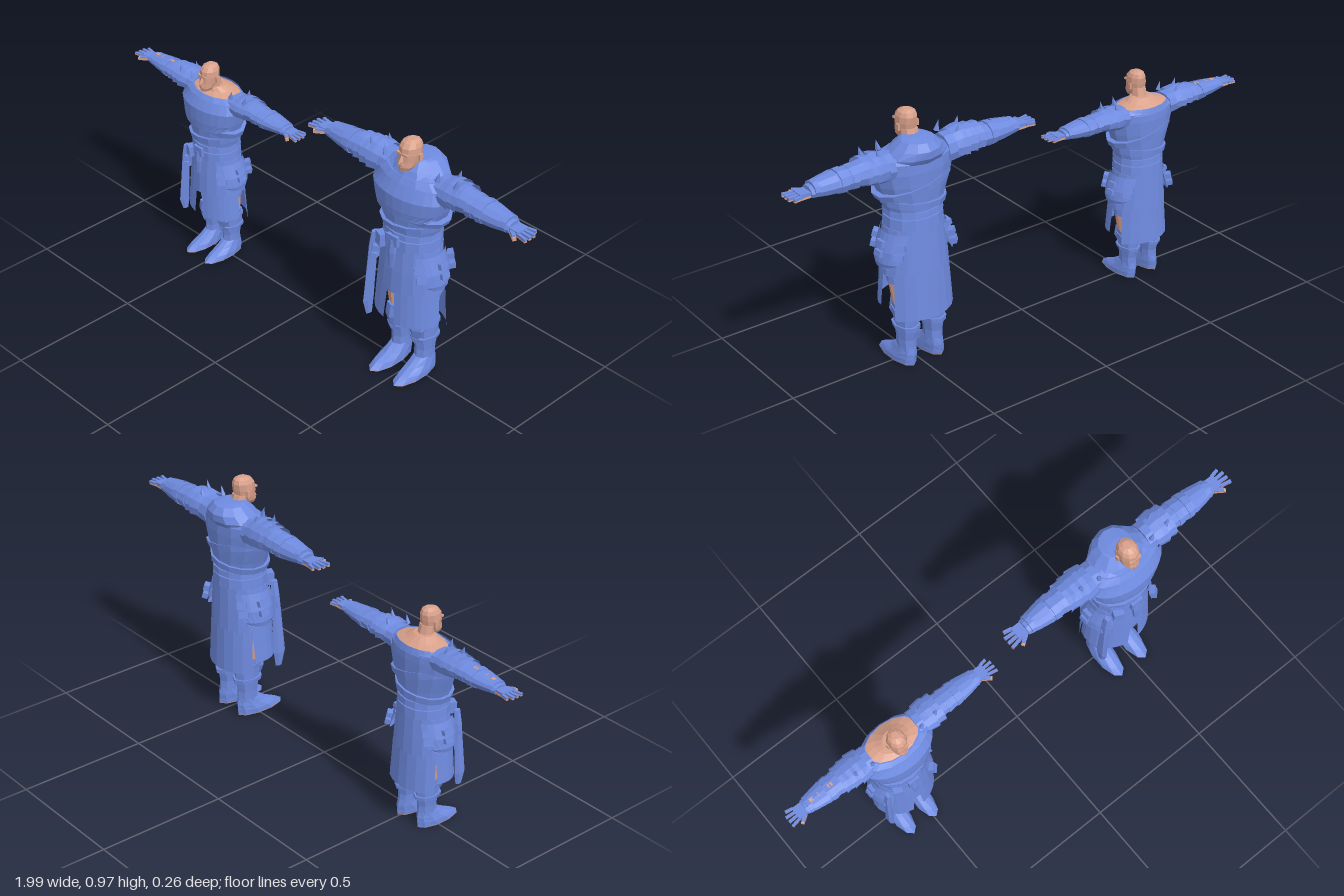
import * as THREE from 'three';

const cloth = new THREE.MeshStandardMaterial({ color: 0x6f8be0, side: THREE.DoubleSide });
cloth.name = 'blue cloth and armour';
const skin = new THREE.MeshStandardMaterial({ color: 0xd9a08a, side: THREE.DoubleSide });
skin.name = 'skin';

const TAU = Math.PI * 2;

// Lofts rings [height, halfWidth, zFront, zBack, xCentre = 0, arcScale = 1]; angle 0 faces the front.
function loft(rings, n = 10, t0 = 0, t1 = TAU) {
  const pos = [], idx = [], mid = (t0 + t1) / 2, closed = t1 - t0 > 6.28;
  for (const [h, a, f, b, cx = 0, k = 1] of rings) {
    for (let j = 0; j <= n; j++) {
      const t = mid + (t0 + (t1 - t0) * j / n - mid) * k;
      pos.push(cx + a * Math.sin(t), h, (f + b) / 2 + (f - b) / 2 * Math.cos(t));
    }
  }
  const w = n + 1, top = (rings.length - 1) * w;
  for (let i = 0; i < rings.length - 1; i++) {
    for (let j = 0; j < n; j++) {
      const p = i * w + j;
      idx.push(p, p + 1, p + w + 1, p, p + w + 1, p + w);
    }
  }
  if (closed) for (let j = 1; j < n - 1; j++) idx.push(0, j + 1, j, top, top + j, top + j + 1);
  const g = new THREE.BufferGeometry();
  g.setAttribute('position', new THREE.Float32BufferAttribute(pos, 3));
  g.setIndex(idx);
  return g;
}

// Loft along the arm: rings [x, halfHeight, zFront, zBack, yCentre]
const armLoft = (rings, n, t0, t1) =>
  loft(rings.map(([x, a, f, b, y]) => [x, a, f, b, -y]), n, t0, t1).rotateZ(-Math.PI / 2);

const box = (w, h, d, x, y, z, ry = 0, rz = 0) =>
  new THREE.BoxGeometry(w, h, d).rotateZ(rz).rotateY(ry).translate(x, y, z);

// Heights of the tall figure and the matching heights of the short one
const TALL = [0, 0.06, 0.265, 0.53, 0.59, 0.79, 0.855, 0.97];
const SHORT = [0, 0.055, 0.21, 0.43, 0.48, 0.69, 0.73, 0.837];
function shortY(y) {
  let i = 0;
  while (i < TALL.length - 2 && y > TALL[i + 1]) i++;
  return SHORT[i] + (y - TALL[i]) / (TALL[i + 1] - TALL[i]) * (SHORT[i + 1] - SHORT[i]);
}

function warrior(name, short) {
  const group = new THREE.Group();
  group.name = name;

  // Places a flat-shaded part, mirrored for side -1 and reshaped for the short figure
  function add(partName, geo, mat = cloth, side = 1) {
    const g = geo.index ? geo.toNonIndexed() : geo;
    const p = g.attributes.position;
    const k = short ? 0.89 : 1;
    for (let i = 0; i < p.count; i++) {
      const y = p.getY(i);
      p.setXYZ(i, p.getX(i) * side * k, short ? shortY(y) : y, p.getZ(i) * k);
    }
    if (side < 0) {
      for (let i = 0; i < p.count; i += 3) {
        const b = [p.getX(i + 1), p.getY(i + 1), p.getZ(i + 1)];
        p.setXYZ(i + 1, p.getX(i + 2), p.getY(i + 2), p.getZ(i + 2));
        p.setXYZ(i + 2, ...b);
      }
    }
    g.deleteAttribute('uv');
    g.computeVertexNormals();
    const m = new THREE.Mesh(g, mat);
    m.name = partName;
    group.add(m);
  }

  // Head and neck
  add('neck', loft([[0.82, 0.042, 0.03, -0.06], [0.85, 0.034, 0.025, -0.045], [0.9, 0.032, 0.03, -0.03]], 8), skin);
  add('head', loft([[0.856, 0.018, 0.062, 0.02], [0.872, 0.031, 0.066, -0.005], [0.892, 0.036, 0.062, -0.024],
    [0.918, 0.039, 0.06, -0.028], [0.942, 0.037, 0.058, -0.03], [0.957, 0.03, 0.046, -0.024], [0.966, 0.015, 0.026, -0.008]], 10), skin);
  add('nose', loft([[0.893, 0.009, 0.073, 0.05], [0.898, 0.008, 0.072, 0.05], [0.92, 0.004, 0.06, 0.05]], 4), skin);
  add('brow', box(0.052, 0.007, 0.012, 0, 0.921, 0.055), skin);
  add('mouth', box(0.022, 0.006, 0.008, 0, 0.88, 0.062), skin);
  for (const s of [1, -1]) add('ear', box(0.008, 0.024, 0.014, 0.039, 0.905, 0.008), skin, s);

  // Torso with breastplate, sash and shoulders
  add('torso', loft([[0.53, 0.116, 0.083, -0.104], [0.6, 0.104, 0.082, -0.1], [0.66, 0.124, 0.085, -0.105],
    [0.72, 0.148, 0.09, -0.11], [0.77, 0.162, 0.088, -0.112], [0.81, 0.16, 0.07, -0.11]], 14));
  add('shoulders', loft([[0.81, 0.16, 0.07, -0.11], [0.832, 0.125, 0.055, -0.102]], 14));
  add(short ? 'bareShoulders' : 'collarBase',
    loft([[0.832, 0.12, 0.05, -0.1], [0.85, 0.075, 0.03, -0.08], [0.868, 0.045, 0.025, -0.055]], 14), short ? skin : cloth);
  add('breastplate', loft([[0.69, 0.145, 0.096, -0.1, 0, 0.75], [0.72, 0.153, 0.099, -0.1], [0.77, 0.165, 0.098, -0.1],
    [0.815, 0.15, 0.074, -0.09, 0, 0.8]], 10, -1.25, 1.25));
  for (const [y, a, tilt] of [[0.64, 0.122, 0.1], [0.71, 0.152, -0.22]]) {
    add('chestSash', loft([[-0.012, a, 0.092, -0.112], [0.012, a + 0.006, 0.097, -0.114]], 14).rotateZ(tilt).translate(0, y, 0));
  }

  // Hood lying on the shoulders, worn by the tall figure only
  if (!short) {
    add('hood', loft([[0.8, 0.125, 0.07, -0.11], [0.825, 0.118, 0.058, -0.128], [0.852, 0.09, 0.042, -0.13],
      [0.878, 0.062, 0.015, -0.11], [0.884, 0.045, 0.005, -0.06]], 12));
  } else {
    add('backCollar', loft([[0.8, 0.14, 0.06, -0.114], [0.838, 0.118, 0.05, -0.106]], 8, 2.2, TAU - 2.2));
  }

  // Belt, buckle and hanging gear
  for (const [y, h, a] of [[0.57, 0.04, 0.113], [0.607, 0.022, 0.112]]) {
    add('belt', loft([[y - h / 2, a, 0.09, -0.11], [y + h / 2, a - 0.002, 0.089, -0.108]], 14));
  }
  add('buckle', box(0.05, 0.042, 0.014, 0, 0.588, 0.092));
  add('beltTongue', loft([[0.48, 0.01, 0.105, 0.088], [0.54, 0.018, 0.108, 0.085], [0.59, 0.016, 0.102, 0.08]], 6));
  add('beltPouch', box(0.04, 0.05, 0.03, -0.07, 0.555, 0.075, -0.4));
  add('sheath', loft([[0.2, 0.008, 0.085, 0.055, -0.128], [0.26, 0.013, 0.1, 0.045, -0.13], [0.5, 0.014, 0.085, 0.045, -0.118],
    [0.56, 0.01, 0.08, 0.05, -0.112]], 6));

  // Skirt: a full upper part over separate lower panels
  const hem = (y) => [y, 0.142 - (y - 0.24) * 0.075, 0.105 - (y - 0.24) * 0.055, -0.12 + (y - 0.24) * 0.045];
  add('skirtTop', loft([hem(0.37), hem(0.46), [0.55, 0.115, 0.085, -0.106]], 18).scale(1, 1, 1));
  for (const [a, b, low] of [[0.14, 1.58, 0.245], [2.05, 4.3, 0.2], [4.32, TAU - 0.14, 0.25]]) {
    add('skirtPanel', loft([[...hem(low), 0, 0.95], [...hem(0.31), 0, 0.98], [...hem(0.38), 0, 1.02]], 7, a, b));
  }

  for (const s of [1, -1]) {
    // Hip flap with small pouches
    add('hipFlap', loft([[0.405, 0.147, 0.1, -0.118, 0, 0.35], [0.425, 0.151, 0.102, -0.12, 0, 0.75],
      [0.47, 0.145, 0.1, -0.118, 0, 0.95], [0.535, 0.122, 0.092, -0.11]], 8, 0.75, 2.5), cloth, s);
    for (const [x, z, ry] of [[0.117, 0.067, -0.75], [0.148, -0.015, 0], [0.118, -0.088, 0.75]]) {
      for (const y of [0.462, 0.498]) {
        add('hipPouch', box(0.022, 0.022, 0.036, x - (y - 0.46) * 0.25, y, z, ry, 0.25), cloth, s);
      }
    }

    // Legs, boots and soles
    add('shorts', loft([[0.33, 0.056, 0.04, -0.075, 0.06], [0.5, 0.054, 0.055, -0.085, 0.058]], 8), cloth, s);
    add('thigh', loft([[0.22, 0.038, 0.022, -0.072, 0.058], [0.34, 0.052, 0.036, -0.072, 0.06]], 8), skin, s);
    add('boot', loft([[0.055, 0.032, 0.015, -0.075, 0.057], [0.1, 0.033, 0.012, -0.073, 0.057], [0.16, 0.041, 0.02, -0.083, 0.056],
      [0.2, 0.042, 0.026, -0.085, 0.056], [0.245, 0.043, 0.026, -0.08, 0.057]], 8), cloth, s);
    add('foot', loft([[0.003, 0.041, 0.13, -0.08, 0.06], [0.022, 0.04, 0.1, -0.08, 0.06], [0.042, 0.036, 0.055, -0.08, 0.058],
      [0.068, 0.031, 0.016, -0.074, 0.057]], 10), cloth, s);
    add('sole', loft([[0, 0.04, 0.13, -0.079, 0.06], [0.003, 0.041, 0.13, -0.08, 0.06]], 10), skin, s);
    add('kneeGuard', loft([[0.155, 0.016, 0.03, 0.005, 0.056], [0.2, 0.038, 0.042, -0.02, 0.056], [0.25, 0.03, 0.034, 0, 0.056]], 6), cloth, s);
    for (const y of [0.15, 0.212]) {
      add('bootStrap', loft([[y - 0.009, 0.045, 0.03, -0.091, 0.056], [y + 0.009, 0.047, 0.034, -0.092, 0.056]], 8), cloth, s);
    }

    // Arm, elbow band and bracer
    add('arm', armLoft([[0.11, 0.056, 0.03, -0.09, 0.795], [0.18, 0.054, 0.028, -0.088, 0.8], [0.25, 0.042, 0.02, -0.08, 0.802],
      [0.31, 0.04, 0.022, -0.082, 0.799], [0.36, 0.036, 0.016, -0.076, 0.798], [0.43, 0.022, 0.002, -0.062, 0.795]], 10), cloth, s);
    for (const [x, r] of [[0.265, 0.046], [0.31, 0.046], [0.405, 0.033]]) {
      add('armBand', armLoft([[x - 0.012, r, -0.03 + r * 1.2, -0.03 - r * 1.2, 0.8], [x + 0.012, r - 0.003, -0.03 + r * 1.15, -0.03 - r * 1.15, 0.8]], 10), cloth, s);
    }
    add('bracer', armLoft([[0.33, 0.043, 0.022, -0.082, 0.8], [0.4, 0.034, 0.01, -0.07, 0.798]], 6, Math.PI, TAU), cloth, s);

    // Gloved hand with a bare palm and spread fingers
    add('glove', box(0.05, 0.012, 0.052, 0.445, 0.797, -0.03), cloth, s);
    add('palm', box(0.048, 0.01, 0.05, 0.445, 0.787, -0.03), skin, s);
    for (let i = 0; i < 4; i++) {
      const z = -0.052 + i * 0.0148, turn = (1.5 - i) * 0.13, len = i === 0 ? 0.034 : 0.045;
      add('fingerTop', box(len, 0.008, 0.011, 0.464 + len / 2, 0.796, z - turn * 0.03, turn), cloth, s);
      add('fingerUnder', box(len, 0.006, 0.01, 0.464 + len / 2, 0.789, z - turn * 0.03, turn), skin, s);
    }
    add('thumb', box(0.042, 0.012, 0.013, 0.455, 0.788, 0.005, -0.6), skin, s);
    add('thumbGlove', box(0.036, 0.006, 0.014, 0.451, 0.797, 0.002, -0.6), cloth, s);

    // Pauldron: three layers on the right arm, two on the left, with spikes
    for (let i = 0; i < (s < 0 ? 3 : 2); i++) {
      const x = 0.14 + i * 0.036, r = 0.062 - i * 0.005 + (s < 0 ? 0.004 : 0);
      add('pauldronPlate', armLoft([[x, r - 0.01, 0.036, -0.096, 0.803], [x + 0.03, r, 0.04 - i * 0.005, -0.1 + i * 0.005, 0.802],
        [x + 0.05, r + 0.003, 0.042 - i * 0.005, -0.102 + i * 0.005, 0.8]], 8, Math.PI - 0.35, TAU + 0.35), cloth, s);
    }
    for (const [x, z] of [[0.125, 0.01], [0.165, -0.055], [0.2, 0]]) {
      add('pauldronSpike', new THREE.ConeGeometry(0.011, 0.04, 5).rotateZ(-0.25).translate(x, 0.866, z), cloth, s);
    }
  }

  // Bare patches on the short figure's right forearm
  if (short) {
    for (const x of [-0.3, -0.35, -0.39]) add('forearmPatch', box(0.02, 0.006, 0.016, x, 0.84 - (-0.3 - x) * 0.1, -0.03), skin);
  }
  return group;
}

export function createModel() {
  const model = new THREE.Group();
  model.name = 'twoWarriors';
  const small = warrior('shortWarrior', true);
  small.position.x = -0.545;
  const tall = warrior('tallWarrior', false);
  tall.position.x = 0.485;
  model.add(small, tall);
  return model;
}
